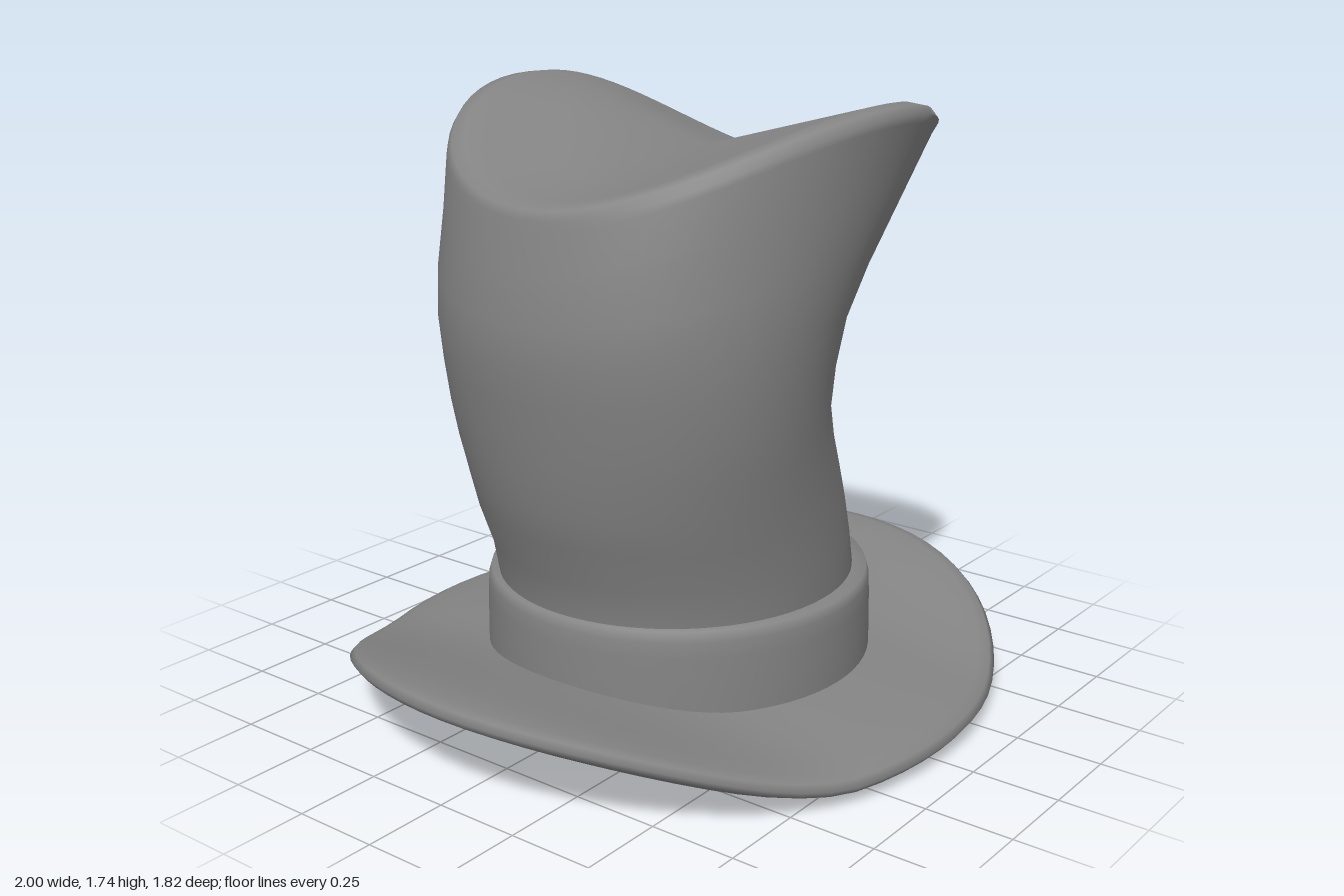
import * as THREE from 'three';
import { toCreasedNormals } from 'three/addons/utils/BufferGeometryUtils.js';

const SEGMENTS = 72;
const power = (v, e) => Math.sign(v) * Math.pow(Math.abs(v), e);

// Skins closed rings, listed along the surface; point(ring, cos, sin) gives [x, y, z].
function loft(rings, point) {
  const positions = [], index = [];
  rings.forEach((ring, i) => {
    for (let j = 0; j < SEGMENTS; j++) {
      const t = (j / SEGMENTS) * Math.PI * 2;
      positions.push(...point(ring, Math.cos(t), Math.sin(t)));
      if (i === 0) continue;
      const k = (j + 1) % SEGMENTS;
      const a = (i - 1) * SEGMENTS + j, b = (i - 1) * SEGMENTS + k;
      const c = i * SEGMENTS + j, d = i * SEGMENTS + k;
      index.push(a, c, b, b, c, d);
    }
  });
  const geometry = new THREE.BufferGeometry();
  geometry.setAttribute('position', new THREE.Float32BufferAttribute(positions, 3));
  geometry.setIndex(index);
  geometry.computeVertexNormals();
  return geometry;
}

// Brim: oval disc, thick in the middle, with both sides curled up and easing off at the edge.
function brimGeometry() {
  const profile = [
    [0, 0.012], [0.3, 0.005], [0.5, 0], [0.6, 0], [0.7, 0.003], [0.8, 0.007], [0.88, 0.012],
    [0.95, 0.02], [0.985, 0.032], [1, 0.05], [0.985, 0.07], [0.95, 0.084], [0.88, 0.098],
    [0.8, 0.11], [0.7, 0.123], [0.6, 0.136], [0.5, 0.145],
  ];
  return loft(profile, ([r, y], c, s) => {
    const curl = (c < 0 ? 0.235 : 0.182) * THREE.MathUtils.smoothstep(Math.abs(r * c), 0.3, 1.2);
    return [r * c, y + curl, 0.91 * r * s];
  });
}

// Band: short upright ring with a soft top lip.
function bandGeometry() {
  const profile = [[0.56, 0.09], [0.56, 0.2], [0.558, 0.3], [0.556, 0.345], [0.547, 0.374], [0.5, 0.378]];
  return loft(profile, ([r, y], c, s) => [0.005 + r * c, y, r * s]);
}

// Crown: leaning, kinked tube flaring to a saddle-shaped rim, closed by a dished top.
function crownGeometry() {
  // height at the sides, right edge x, left edge x, half depth, shift of widest point, lift of front and back
  const levels = [
    [0.2, -0.51, 0.52, 0.5, 0, 0],
    [0.38, -0.53, 0.51, 0.512, 0, 0],
    [0.48, -0.55, 0.485, 0.516, 0, 0],
    [0.6, -0.6, 0.45, 0.522, 0, 0],
    [0.7, -0.625, 0.405, 0.53, 0, 0],
    [0.8, -0.645, 0.345, 0.542, 0, 0.01],
    [0.9, -0.66, 0.29, 0.555, 0.01, 0.02],
    [1.0, -0.675, 0.28, 0.57, 0.02, 0.05],
    [1.1, -0.688, 0.29, 0.588, 0.04, 0.09],
    [1.2, -0.688, 0.37, 0.605, 0.06, 0.13],
    [1.33, -0.665, 0.5, 0.63, 0.09, 0.19],
    [1.44, -0.643, 0.603, 0.658, 0.11, 0.25],
    [1.462, -0.638, 0.62, 0.664, 0.12, 0.25],
    [1.488, -0.632, 0.61, 0.645, 0.12, 0.247],
    [1.498, -0.6, 0.58, 0.605, 0.12, 0.242],
  ];
  const rim = levels[levels.length - 1];
  const rings = levels.map((level) => ({ level, scale: 1 }));
  for (const scale of [0.93, 0.65, 0]) rings.push({ level: rim, scale });
  const centre = [0.13, 1.575, 0];

  return loft(rings, ({ level: [y, x0, x1, depth, shift, lift], scale }, c, s) => {
    const cx = (x0 + x1) / 2 + shift;
    const e = c > 0 ? 2 / (2 + 1.5 * lift) : 1;
    const n = power(s, e);
    const rise = lift * Math.pow(Math.abs(n), c > 0 ? 1.8 : 2) - 0.06 * lift * c;
    const p = [cx + (c > 0 ? x1 - cx : cx - x0) * power(c, e), y + rise, depth * n];
    return p.map((v, i) => centre[i] + (v - centre[i]) * scale);
  });
}

export function createModel() {
  const hat = new THREE.Group();
  hat.name = 'crumpledTopHat';
  const material = new THREE.MeshStandardMaterial({ color: 0x848484, side: THREE.DoubleSide });
  const parts = {
    brim: brimGeometry(),
    band: bandGeometry(),
    crown: toCreasedNormals(crownGeometry(), 1.1),
  };
  for (const [name, geometry] of Object.entries(parts)) {
    const mesh = new THREE.Mesh(geometry, material);
    mesh.name = name;
    hat.add(mesh);
  }
  return hat;
}
